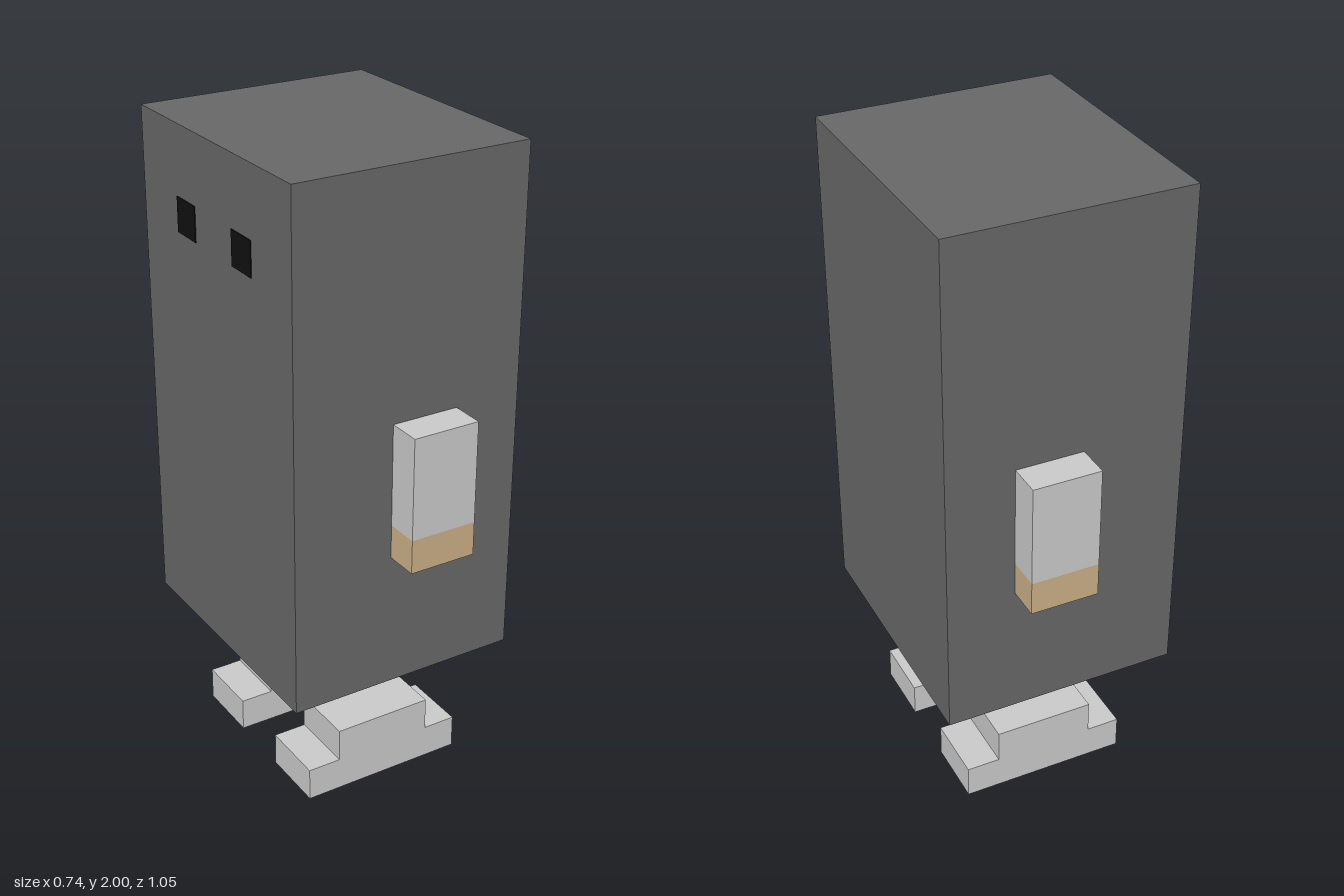
import * as THREE from 'three';

const U = 2 / 19; // one block unit

const material = (name, color) => {
  const m = new THREE.MeshStandardMaterial({ color });
  m.name = name;
  return m;
};

export function createModel() {
  const darkGrey = material('dark grey', 0x676767);
  const lightGrey = material('light grey', 0xc9c9c9);
  const tan = material('tan', 0xc9ae86);
  const black = material('black', 0x101010);

  const model = new THREE.Group();
  model.name = 'blockFigure';

  // Box given by its size and centre in block units
  const box = (name, mat, [w, h, d], [x, y, z], parent = model) => {
    const mesh = new THREE.Mesh(new THREE.BoxGeometry(w * U, h * U, d * U), mat);
    mesh.position.set(x * U, y * U, z * U);
    mesh.name = name;
    parent.add(mesh);
    return mesh;
  };

  // Body floating above the feet
  box('body', darkGrey, [7, 15, 8], [0, 11.5, 0]);

  // Stepped foot profile, extruded across its width
  const profile = [[-2.5, 0], [2.5, 0], [2.5, 1], [1.5, 1], [1.5, 2], [-1.5, 2], [-1.5, 1], [-2.5, 1]];
  const footShape = new THREE.Shape(profile.map(([x, y]) => new THREE.Vector2(x * U, y * U)));
  const footGeometry = new THREE.ExtrudeGeometry(footShape, { depth: 2 * U, bevelEnabled: false });
  footGeometry.translate(0, 0, -U);

  for (const [label, side] of [['front', 1], ['back', -1]]) {
    // Arm: sleeve above a hand
    const arm = new THREE.Group();
    arm.name = label + 'Arm';
    box('sleeve', lightGrey, [2, 3, 1], [0.5, 10.5, side * 4.5], arm);
    box('hand', tan, [2, 1, 1], [0.5, 8.5, side * 4.5], arm);
    model.add(arm);

    // Foot
    const foot = new THREE.Mesh(footGeometry, lightGrey);
    foot.name = label + 'Foot';
    foot.position.z = side * 2 * U;
    model.add(foot);

    // Eye plate on the -x face
    box(label + 'Eye', black, [0.04, 1, 1], [-3.51, 16.5, side * 1.5]);
  }
  return model;
}
